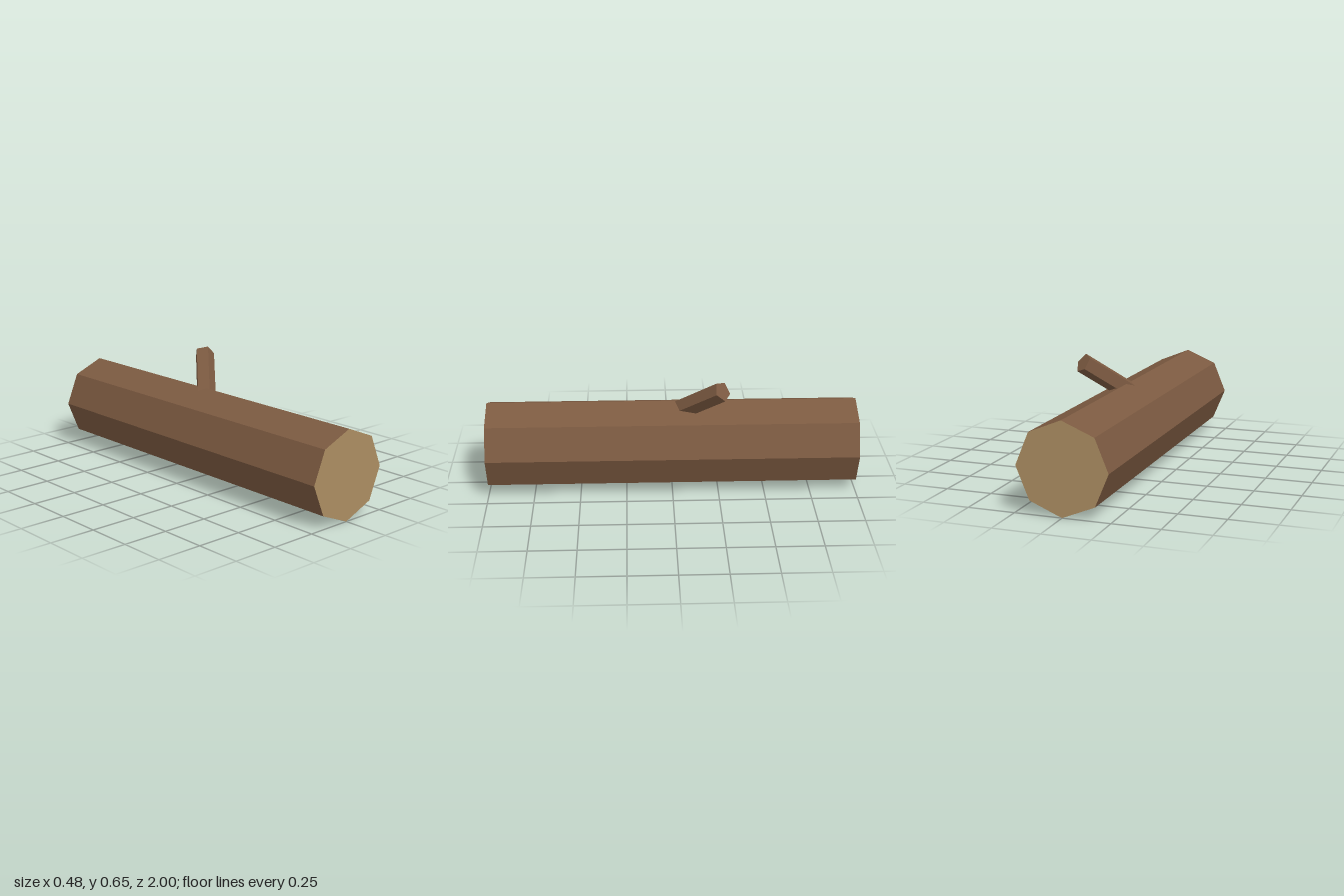
import * as THREE from 'three';

export function createModel() {
  const bark = new THREE.MeshStandardMaterial({ color: 0x7c5a41 });
  bark.name = 'bark brown';
  const cutWood = new THREE.MeshStandardMaterial({ color: 0xab8d61 });
  cutWood.name = 'cut wood tan';

  // Low-poly cylinder with flat facets; material groups are side, top, bottom
  const facetedCylinder = (radius, length, sides, thetaStart = 0) => {
    const cylinder = new THREE.CylinderGeometry(radius, radius, length, sides, 1, false, thetaStart);
    const flat = cylinder.toNonIndexed();
    flat.computeVertexNormals();
    return flat;
  };

  const model = new THREE.Group();
  model.name = 'log';

  // Octagonal trunk lying along z, with a corner on top and pale sawn ends
  const trunk = new THREE.Mesh(facetedCylinder(0.24, 2, 8), [bark, cutWood, cutWood]);
  trunk.name = 'trunk';
  trunk.rotation.x = Math.PI / 2;
  trunk.position.y = 0.24;
  model.add(trunk);

  // Five-sided branch stub leaning up, left and back; its root is sunk in the trunk
  const length = 0.36;
  const branchGeometry = facetedCylinder(0.055, length, 5, Math.PI);
  branchGeometry.translate(0, -length / 2, 0); // origin at the tip
  const branch = new THREE.Mesh(branchGeometry, bark);
  branch.name = 'branchStub';
  branch.rotation.set(THREE.MathUtils.degToRad(-40), 0, -Math.PI / 4, 'ZYX');
  branch.position.set(0.185, 0.611, -0.261);
  model.add(branch);

  return model;
}
